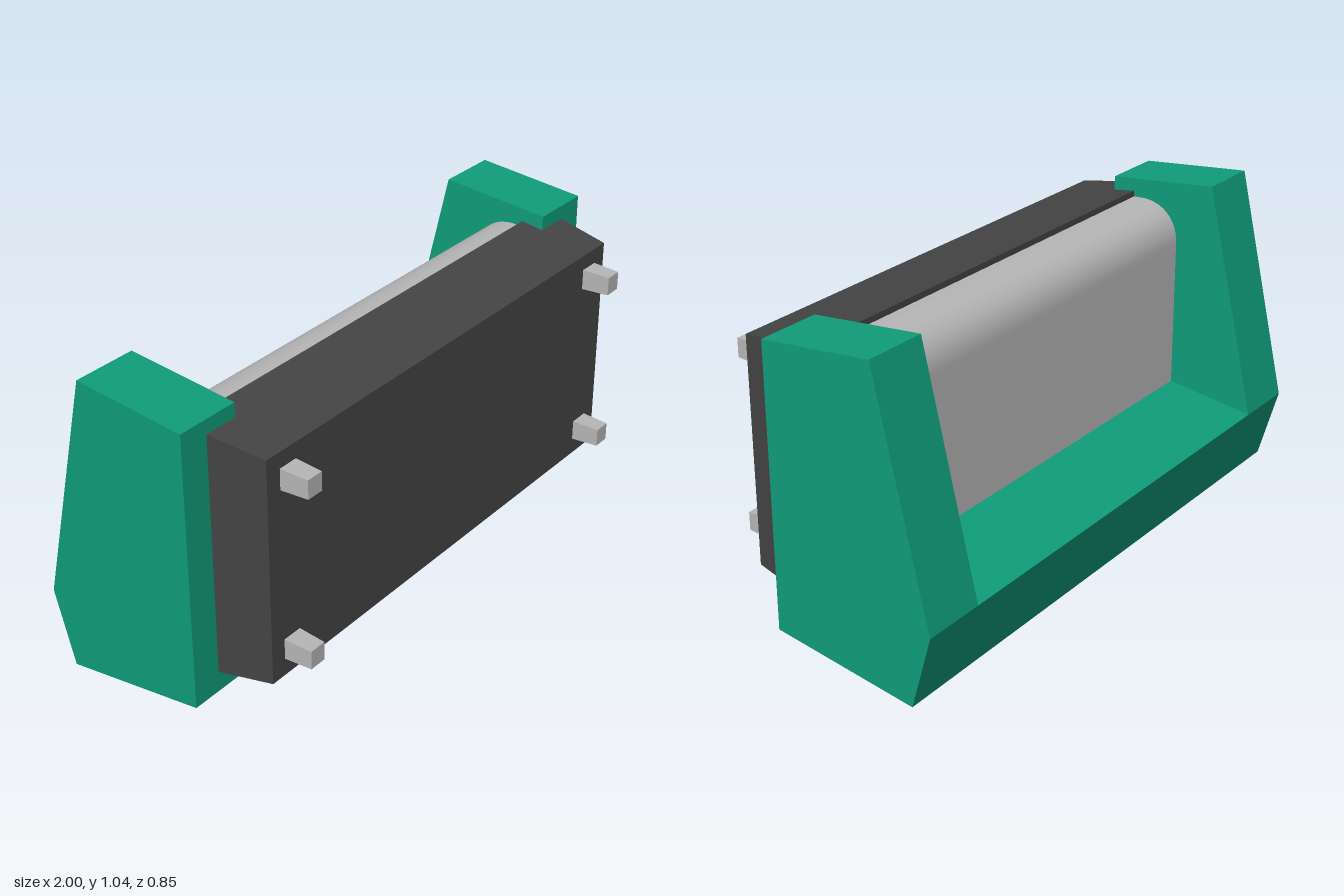
import * as THREE from 'three';

const green = new THREE.MeshStandardMaterial({ name: 'green upholstery', color: 0x109c7a });
const dark = new THREE.MeshStandardMaterial({ name: 'dark base', color: 0x444444 });
const grey = new THREE.MeshStandardMaterial({ name: 'light grey', color: 0xb6b6b6 });

// Extrude a (z, y) side profile along x, centred on x = 0
function extrudeAcross(shape, width, curveSegments = 12) {
  const geo = new THREE.ExtrudeGeometry(shape, { depth: width, bevelEnabled: false, curveSegments });
  geo.translate(0, 0, -width / 2);
  geo.rotateY(-Math.PI / 2);
  return geo;
}

const polygon = (points) => new THREE.Shape(points.map(([z, y]) => new THREE.Vector2(z, y)));

// Box along z from z0 to z1 whose cross-section changes from [w0, h0] to [w1, h1]
function taperedBox(z0, z1, [w0, h0], [w1, h1]) {
  const geo = new THREE.BoxGeometry(1, 1, z1 - z0);
  geo.translate(0, 0, (z0 + z1) / 2);
  const p = geo.attributes.position;
  const middle = (z0 + z1) / 2;
  for (let i = 0; i < p.count; i++) {
    const far = p.getZ(i) > middle;
    p.setX(i, p.getX(i) * (far ? w1 : w0));
    p.setY(i, p.getY(i) * (far ? h1 : h0));
  }
  geo.computeVertexNormals();
  return geo;
}

export function createModel() {
  const model = new THREE.Group();
  const add = (name, geo, mat, x = 0, y = 0) => {
    const mesh = new THREE.Mesh(geo, mat);
    mesh.name = name;
    mesh.position.set(x, y, 0);
    model.add(mesh);
  };

  // Armrests: five-sided slabs at both ends
  const armShape = polygon([[0.145, 0.075], [0.145, 1.005], [-0.24, 1.04], [-0.425, 0.25], [-0.355, 0]]);
  const armGeo = extrudeAcross(armShape, 0.22);
  add('leftArm', armGeo, green, 0.89);
  add('rightArm', armGeo, green, -0.89);

  // Backrest joining the arms, with a sloping ledge
  const backShape = polygon([[0.145, 0.075], [0.145, 0.335], [-0.425, 0.25], [-0.355, 0]]);
  add('backrest', extrudeAcross(backShape, 1.56), green);

  // Seat cushion with a rounded outer edge
  const seat = new THREE.Shape();
  seat.moveTo(0.1, 0.2);
  seat.lineTo(0.1, 0.945);
  seat.lineTo(0.03, 0.95);
  seat.bezierCurveTo(-0.05, 0.95, -0.11, 0.9, -0.11, 0.81);
  seat.lineTo(-0.11, 0.2);
  const seatGeo = extrudeAcross(seat, 1.57, 16);
  smoothProfile(seatGeo);
  add('seatCushion', seatGeo, grey);

  // Tapered plinth under the seat
  add('plinth', taperedBox(0.065, 0.332, [1.82, 0.834], [1.74, 0.758]), dark, 0, 0.551);

  // Four small tapered feet
  const footGeo = taperedBox(0.325, 0.427, [0.07, 0.07], [0.06, 0.062]);
  for (const x of [-0.78, 0.78]) {
    for (const y of [0.265, 0.843]) add('foot', footGeo, grey, x, y);
  }
  return model;
}

// Smooth the curved side wall: average normals of touching faces under 40 degrees apart
function smoothProfile(geo) {
  const p = geo.attributes.position;
  const n = geo.attributes.normal;
  const read = (attr, i) => new THREE.Vector3().fromBufferAttribute(attr, i);
  const old = Array.from({ length: n.count }, (_, i) => read(n, i));
  const pos = Array.from({ length: p.count }, (_, i) => read(p, i));
  for (let i = 0; i < p.count; i++) {
    const sum = new THREE.Vector3();
    for (let j = 0; j < p.count; j++) {
      if (pos[i].distanceTo(pos[j]) < 1e-5 && old[i].dot(old[j]) > 0.77) sum.add(old[j]);
    }
    sum.normalize();
    n.setXYZ(i, sum.x, sum.y, sum.z);
  }
}
